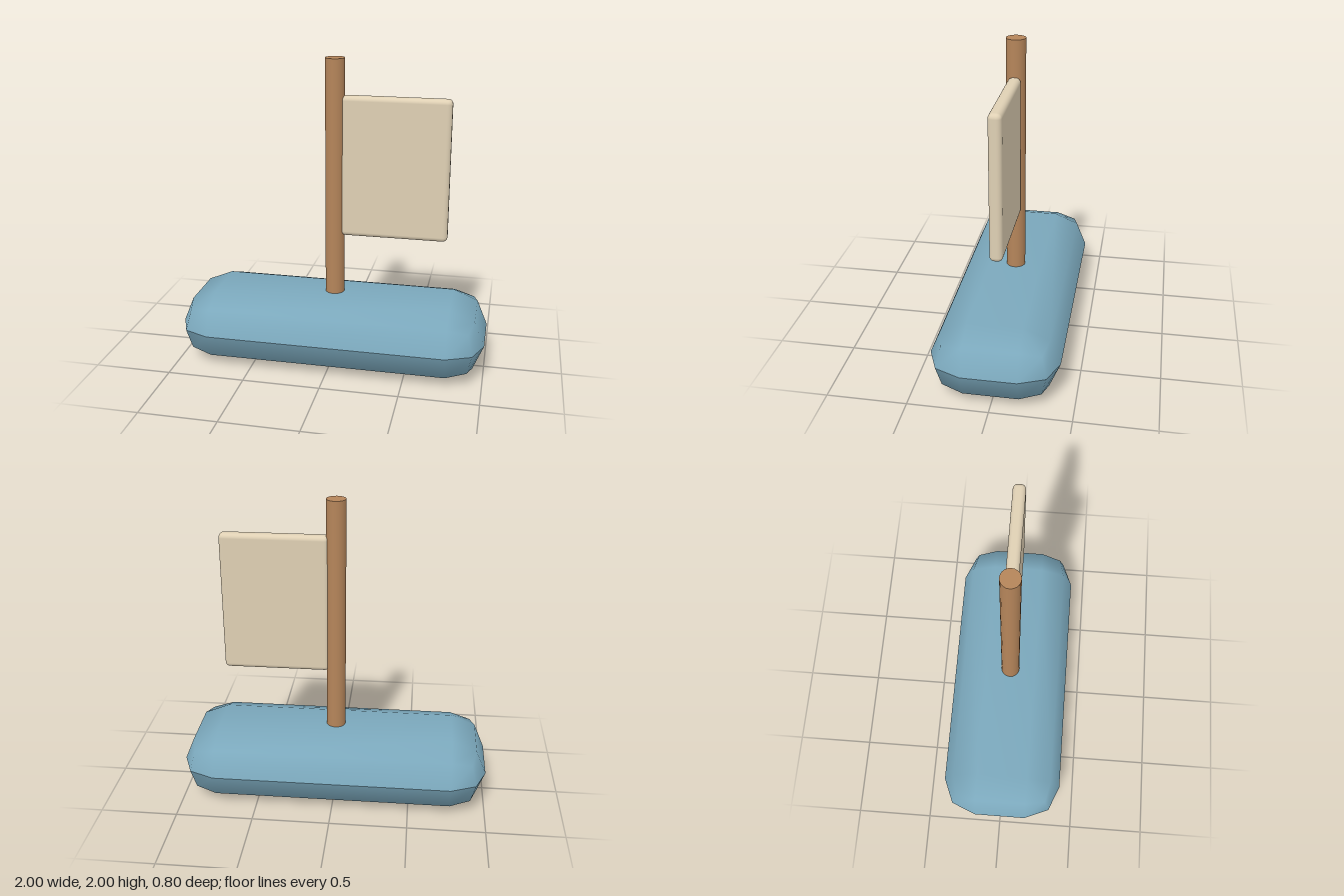
import * as THREE from 'three';
import { mergeVertices } from 'three/addons/utils/BufferGeometryUtils.js';
import { RoundedBoxGeometry } from 'three/addons/geometries/RoundedBoxGeometry.js';

const paint = (name, color) => {
  const material = new THREE.MeshStandardMaterial({ color });
  material.name = name;
  return material;
};

// Upper (side = 1) or lower (side = -1) half of a geometry, smooth within itself
function halfShell(geometry, side) {
  const soup = geometry.index ? geometry.toNonIndexed() : geometry;
  const p = soup.attributes.position;
  const kept = [];
  for (let i = 0; i < p.count; i += 3) {
    const height = p.getY(i) + p.getY(i + 1) + p.getY(i + 2);
    if (height * side < 1e-4) continue;
    for (let k = i; k < i + 3; k++) kept.push(p.getX(k), p.getY(k), p.getZ(k));
  }
  const raw = new THREE.BufferGeometry();
  raw.setAttribute('position', new THREE.Float32BufferAttribute(kept, 3));
  const shell = mergeVertices(raw, 1e-4);
  shell.computeVertexNormals();
  return shell;
}

export function createModel() {
  const model = new THREE.Group();
  model.name = 'raftWithSail';
  const blue = paint('hullBlue', 0x7ba8bc);
  const wood = paint('mastWood', 0xb5855a);
  const cloth = paint('sailCloth', 0xdfd0b4);

  const add = (name, geometry, material, x, y, parent = model) => {
    const mesh = new THREE.Mesh(geometry, material);
    mesh.name = name;
    mesh.position.set(x, y, 0);
    parent.add(mesh);
  };

  // Bevelled hull with a crease along its middle
  const hull = new THREE.Group();
  hull.name = 'hull';
  model.add(hull);
  const body = new RoundedBoxGeometry(2, 0.46, 0.8, 1, 0.23);
  add('upperHull', halfShell(body, 1), blue, 0, 0.23, hull);
  add('lowerHull', halfShell(body, -1), blue, 0, 0.23, hull);

  // Mast standing on the deck
  add('mast', new THREE.CylinderGeometry(0.062, 0.062, 1.56, 20), wood, 0, 1.22);

  // Sail on the left of the mast
  add('sail', new RoundedBoxGeometry(0.685, 0.91, 0.08, 3, 0.03), cloth, 0.385, 1.315);

  return model;
}
